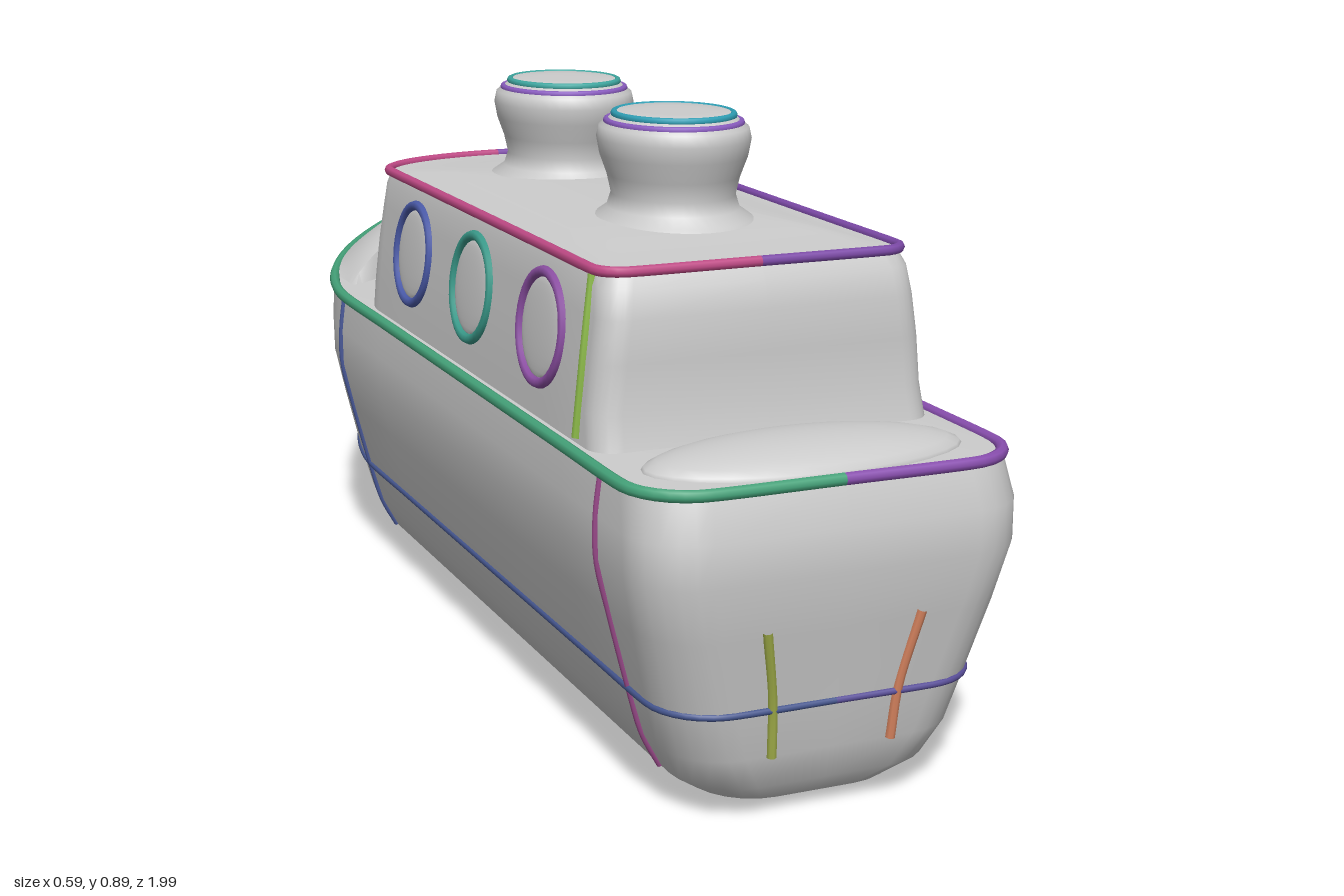
import * as THREE from 'three';
import { mergeVertices, toCreasedNormals } from 'three/addons/utils/BufferGeometryUtils.js';

const grey = new THREE.MeshStandardMaterial({ color: 0xcccccc, side: THREE.DoubleSide });
const paint = (color) => new THREE.MeshStandardMaterial({ color });

// Half plan outline, from the pointed bow (-z) along +x to the middle of the stern.
function halfOutline({ y, w, bow, stern, shoulder, r, p, q }) {
  const pts = [];
  for (let i = 0; i < 16; i++) {
    const v = (i / 16) ** 1.6;
    pts.push(new THREE.Vector3(w * (1 - (1 - v) ** p) ** q, y, bow + (shoulder - bow) * v));
  }
  for (let i = 0; i < 6; i++) pts.push(new THREE.Vector3(w, y, shoulder + (stern - r - shoulder) * i / 6));
  for (let i = 0; i <= 6; i++) {
    const a = i / 6 * Math.PI / 2;
    pts.push(new THREE.Vector3(w - r + r * Math.cos(a), y, stern - r + r * Math.sin(a)));
  }
  pts.push(new THREE.Vector3(0, y, stern));
  return pts;
}
const flip = (v) => new THREE.Vector3(-v.x, v.y, v.z);
function fullOutline(o) {
  const half = halfOutline(o);
  return [...half, ...half.slice(1, -1).reverse().map(flip)];
}
// Shrink an outline towards its centre line to close the top or bottom.
const shrink = (ring, k, zc, y) => ring.map((v) => new THREE.Vector3(v.x * k, y, zc + (v.z - zc) * k));

// Skin a stack of rings.
function loft(rings, crease, closed = true) {
  const n = rings[0].length, idx = [];
  for (let j = 0; j < rings.length - 1; j++) {
    for (let i = 0; i < (closed ? n : n - 1); i++) {
      const a = j * n + i, b = j * n + (i + 1) % n, c = a + n, d = b + n;
      idx.push(a, c, b, b, c, d);
    }
  }
  const g = new THREE.BufferGeometry().setFromPoints(rings.flat());
  g.setIndex(idx);
  return toCreasedNormals(mergeVertices(g), crease);
}

export function createModel() {
  const model = new THREE.Group();
  model.name = 'ship';
  const add = (name, geo, mat = grey, parent = model) => {
    const m = new THREE.Mesh(geo, mat);
    m.name = name;
    parent.add(m);
    return m;
  };
  const tube = (name, pts, color, r = 0.007) => {
    const curve = new THREE.CatmullRomCurve3(pts.map((p) => (p.isVector3 ? p : new THREE.Vector3(...p))), false, 'centripetal');
    return add(name, new THREE.TubeGeometry(curve, pts.length * 4, r, 8), paint(color));
  };

  // Hull: y, half width, bow z, stern z
  const hullLevels = [
    [0.005, 0.1, -0.72, 0.88], [0.02, 0.15, -0.8, 0.915], [0.05, 0.19, -0.86, 0.94], [0.1, 0.217, -0.9, 0.955],
    [0.17, 0.238, -0.925, 0.965], [0.28, 0.267, -0.945, 0.985], [0.36, 0.286, -0.955, 0.997],
    [0.42, 0.287, -0.965, 0.995], [0.48, 0.28, -0.985, 0.972],
  ].map(([y, w, bow, stern]) => ({ y, w, bow, stern, shoulder: -0.33, r: 0.09, p: 1.65, q: 1 }));
  const hull = hullLevels.map(fullOutline);
  const rim = hull[hull.length - 1];
  add('hull', loft([shrink(hull[0], 0, 0.1, 0), shrink(hull[0], 0.6, 0.1, 0), ...hull,
    shrink(rim, 0.96, 0, 0.482), shrink(rim, 0.5, 0, 0.484), shrink(rim, 0, 0, 0.484)], 0.7));

  // Arched foredeck with a notched rear edge
  const fore = [];
  for (let j = 0; j <= 13; j++) {
    const row = [];
    for (let i = 0; i <= 24; i++) {
      const a = i / 12 - 1, x = a * 0.24, s = Math.min(j / 12, 1);
      const front = -0.985 + 0.655 * (1 - (1 - Math.abs(x) / 0.28) ** (1 / 1.65));
      const back = -0.66 + 0.23 * Math.abs(a) ** 0.85;
      const rise = 0.082 * (1 - a ** 4) * (1 - 0.35 * Math.abs(a)) * Math.sin(s * 1.75);
      row.push(new THREE.Vector3(x, j === 13 ? 0.475 : 0.482 + rise, front + (back - front) * s + (j === 13 ? 0.025 : 0)));
    }
    fore.push(row);
  }
  add('foredeck', loft(fore, 0.8, false));

  // Cabin with rounded forward end and slightly domed roof
  const cabinLevels = [
    [0.47, 0.262, -0.41, 0.765], [0.53, 0.258, -0.4, 0.748], [0.6, 0.251, -0.385, 0.748],
    [0.66, 0.243, -0.365, 0.745], [0.7, 0.238, -0.335, 0.735], [0.722, 0.23, -0.315, 0.72],
  ].map(([y, w, bow, stern]) => ({ y, w, bow, stern, shoulder: -0.2, r: 0.04, p: 2, q: 0.5 }));
  const cabin = cabinLevels.map(fullOutline);
  const eave = cabin[cabin.length - 1];
  add('cabin', loft([...cabin, shrink(eave, 0.92, 0.2, 0.722), shrink(eave, 0.75, 0.2, 0.732),
    shrink(eave, 0.4, 0.2, 0.742), shrink(eave, 0, 0.2, 0.746)], 0.7));

  // Raised deck pads fore and aft of the cabin
  const pad = (name, x, y, z, sx, sy, sz) => {
    const m = add(name, new THREE.SphereGeometry(1, 28, 14));
    m.position.set(x, y, z);
    m.scale.set(sx, sy, sz);
  };
  pad('aftDeckPad', 0, 0.478, 0.86, 0.24, 0.038, 0.1);
  for (const s of [-1, 1]) pad('foreDeckFitting', s * 0.1, 0.482, -0.44, 0.05, 0.022, 0.03);

  // Funnels with coloured lip rings
  const profile = [[0.145, 0.72], [0.13, 0.738], [0.108, 0.752], [0.101, 0.772], [0.108, 0.8], [0.12, 0.83],
    [0.125, 0.855], [0.121, 0.872], [0.104, 0.884], [0.095, 0.893], [0.05, 0.894], [0, 0.894]].map((p) => new THREE.Vector2(...p));
  [[0, 0x3fa7a0], [0.43, 0x2f9fb5]].forEach(([z, color]) => {
    const funnel = new THREE.Group();
    funnel.name = 'funnel';
    funnel.position.z = z;
    funnel.scale.x = 0.9;
    add('funnelBody', new THREE.LatheGeometry(profile, 40), grey, funnel);
    [[0.096, 0.889, color], [0.108, 0.878, 0x8a5cc0]].forEach(([r, y, c]) => {
      const ring = add('funnelRing', new THREE.TorusGeometry(r, 0.006, 8, 40), paint(c), funnel);
      ring.rotation.x = Math.PI / 2;
      ring.position.y = y;
    });
    model.add(funnel);
  });

  // Round portholes on both cabin sides
  [[0.53, 0x8c4fa3], [0.24, 0x3a9a8a], [-0.04, 0x4a5aa8]].forEach(([z, color]) => {
    for (const s of [-1, 1]) {
      const port = new THREE.Group();
      port.name = 'porthole';
      port.position.set(s * 0.25, 0.61, z);
      port.lookAt(s * 1.25, 0.727, z);
      add('portholeFrame', new THREE.TorusGeometry(0.08, 0.008, 8, 36), paint(color), port);
      const glass = add('portholeGlass', new THREE.SphereGeometry(0.072, 24, 12), grey, port);
      glass.scale.z = 0.08;
      model.add(port);
    }
  });

  // Coloured edge piping, one colour per side
  const rimHalf = halfOutline(hullLevels[8]), eaveHalf = halfOutline({ ...cabinLevels[5], w: 0.235 });
  const waterHalf = halfOutline(hullLevels[4]);
  const sides = [
    { s: 1, rim: 0x8a4fb0, eave: 0x7d4aa8, corner: 0xd0467a, water: 0x5a4f9a, seam: 0xb0407a, rib: 0xd98560 },
    { s: -1, rim: 0x45a37a, eave: 0xc04a86, corner: 0x8dbb4a, water: 0x45568f, seam: 0x9a4a8a, rib: 0xa3b04a },
  ];
  for (const c of sides) {
    const m = (pts) => (c.s > 0 ? pts : pts.map(flip));
    tube('deckRimPiping', m(rimHalf), c.rim, 0.009);
    tube('roofEdgePiping', m(eaveHalf), c.eave, 0.008);
    tube('waterlinePiping', m(waterHalf), c.water, 0.005);
    tube('cabinCornerPiping', [[c.s * 0.234, 0.715, 0.68], [c.s * 0.25, 0.61, 0.69], [c.s * 0.262, 0.49, 0.69]], c.corner);
    // Vertical hull seams and stern ribs
    const seam = (z, color) => tube('hullSeam',
      hullLevels.slice(2).map((l) => [c.s * (z < 0 ? l.w * 0.998 : l.w), l.y, z]), color, 0.005);
    seam(0.82, c.seam);
    seam(-0.34, 0x4a5a9a);
    tube('sternRib', [[c.s * 0.115, 0.29, 0.987], [c.s * 0.095, 0.18, 0.966], [c.s * 0.09, 0.1, 0.957]], c.rib);
  }
  return model;
}
